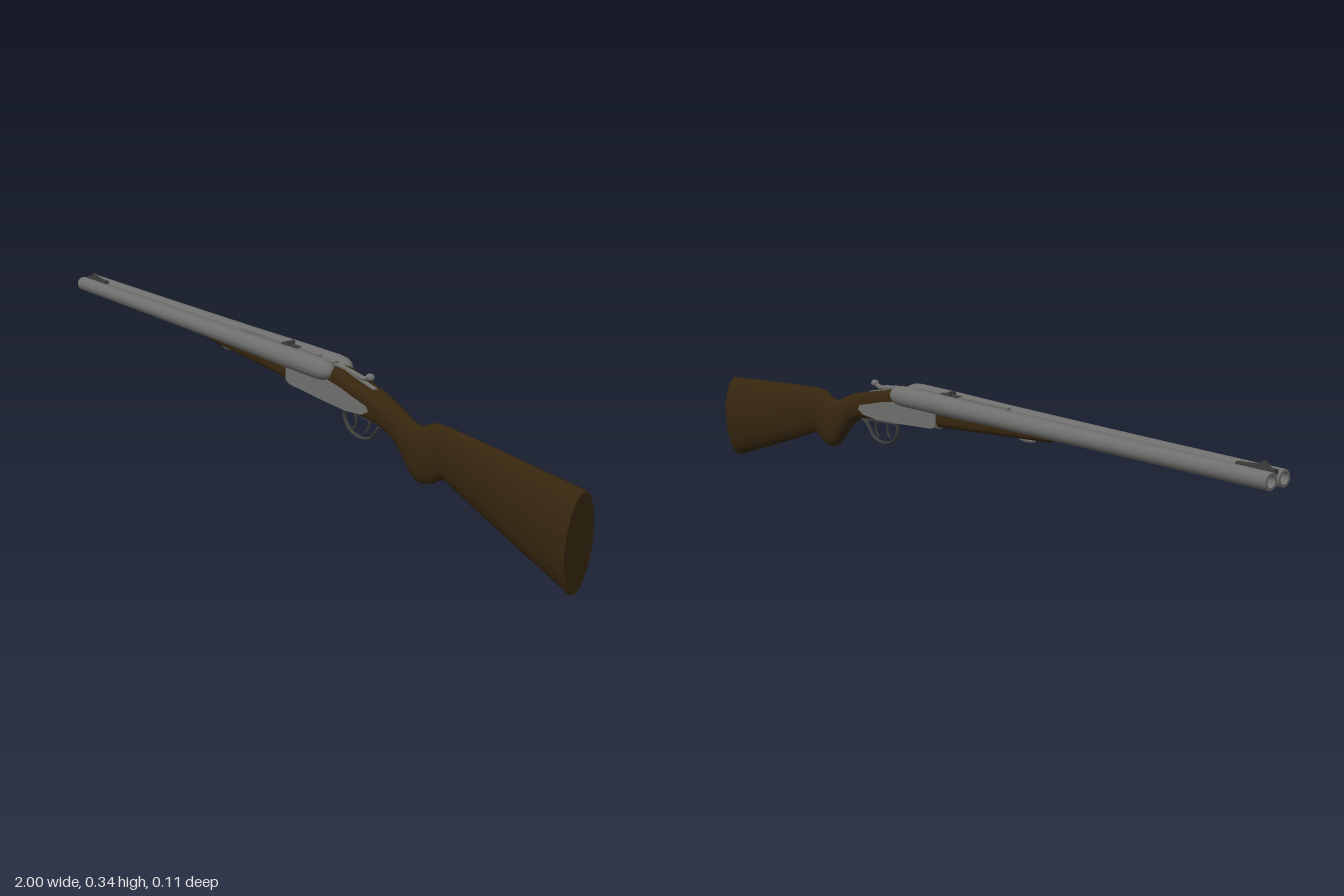
import * as THREE from 'three';

const mat = (name, color) => Object.assign(new THREE.MeshStandardMaterial({ color }), { name });
const steel = mat('steel', 0x6e6e6c);
const wood = mat('walnut', 0x36260f);
const dark = mat('darkSteel', 0x3c3c3a);

// Skin a solid along x from sections [x, bottom, top, halfWidth, exponent].
// An exponent of 2 is an ellipse; higher values are boxier.
function loft(sections, sides = 28) {
  const pos = [], idx = [];
  const ring = ([x, b, t, w, n]) => {
    for (let i = 0; i < sides; i++) {
      const a = (i / sides) * Math.PI * 2, c = Math.cos(a), s = Math.sin(a);
      pos.push(x, (b + t) / 2 + ((t - b) / 2) * Math.sign(s) * Math.abs(s) ** (2 / n),
        w * Math.sign(c) * Math.abs(c) ** (2 / n));
    }
  };
  sections.forEach(ring);
  for (let r = 0; r < sections.length - 1; r++)
    for (let i = 0; i < sides; i++) {
      const a = r * sides + i, b = r * sides + ((i + 1) % sides);
      idx.push(a, a + sides, b, b, a + sides, b + sides);
    }
  // End caps have their own rims, so their edges stay crisp
  for (const end of [0, sections.length - 1]) {
    const s = sections[end], base = pos.length / 3;
    ring(s);
    pos.push(s[0], (s[1] + s[2]) / 2, 0);
    for (let i = 0; i < sides; i++) {
      const a = base + i, b = base + ((i + 1) % sides), c = base + sides;
      if (end === 0) idx.push(c, a, b);
      else idx.push(c, b, a);
    }
  }
  const g = new THREE.BufferGeometry();
  g.setAttribute('position', new THREE.Float32BufferAttribute(pos, 3));
  g.setIndex(idx);
  g.computeVertexNormals();
  return g;
}

// Side outline in x and y, extruded across z
function slab(points, depth) {
  const shape = new THREE.Shape(points.map(([x, y]) => new THREE.Vector2(x, y)));
  return new THREE.ExtrudeGeometry(shape, { depth, bevelEnabled: false }).translate(0, 0, -depth / 2);
}

const rod = (points, radius, closed = false) => new THREE.TubeGeometry(
  new THREE.CatmullRomCurve3(points.map(([x, y, z = 0]) => new THREE.Vector3(x, y, z)), closed), 48, radius, 8, closed);

export function createModel() {
  const model = new THREE.Group();
  const add = (name, geometry, material, parent = model) => {
    const mesh = new THREE.Mesh(geometry, material);
    mesh.name = name;
    parent.add(mesh);
    return mesh;
  };
  const box = (name, x0, x1, y0, y1, w, material) =>
    add(name, new THREE.BoxGeometry(x1 - x0, y1 - y0, w).translate((x0 + x1) / 2, (y0 + y1) / 2, 0), material);

  // Paired barrels: hollow at the muzzle, rounded at the breech, slightly converging
  const profile = [[0, 0.1], [0.013, 0.1], [0.013, 0], [0.0185, 0], [0.0195, 0.002], [0.0205, 0.4],
    [0.0235, 0.85], [0.026, 1.03], [0.0265, 1.16], [0.0245, 1.185], [0.019, 1.2], [0.011, 1.209], [0, 1.212]];
  const corners = profile.flatMap(([r, l], i) =>
    i > 0 && i < 4 ? [new THREE.Vector2(r, l), new THREE.Vector2(r, l + 1e-5)] : [new THREE.Vector2(r, l)]);
  for (const side of [-1, 1]) {
    const g = new THREE.LatheGeometry(corners, 28).rotateZ(-Math.PI / 2);
    const p = g.attributes.position;
    for (let i = 0; i < p.count; i++) {
      const t = p.getX(i) / 1.212;
      p.setXYZ(i, p.getX(i) - 1, p.getY(i) + 0.307 + 0.002 * t, p.getZ(i) + side * (0.0215 + 0.0055 * t));
    }
    g.computeVertexNormals();
    add(side > 0 ? 'leftBarrel' : 'rightBarrel', g, steel);
  }

  // Ribs joining the barrels
  add('topRib', slab([[-0.995, 0.305], [0.19, 0.305], [0.19, 0.328], [-0.995, 0.32]], 0.016), steel);
  box('lowerRib', -0.995, 0.1, 0.293, 0.302, 0.02, steel);
  box('quarterRib', -0.2, 0.13, 0.32, 0.331, 0.011, steel);

  // Sights
  box('frontSightBase', -0.995, -0.895, 0.318, 0.328, 0.014, dark);
  add('frontSightRamp', slab([[-0.985, 0.327], [-0.9, 0.327], [-0.95, 0.333], [-0.975, 0.333]], 0.008), dark);
  add('frontSightBlade', slab([[-0.978, 0.33], [-0.952, 0.33], [-0.96, 0.341], [-0.97, 0.341]], 0.005), dark);
  box('rearSightBase', -0.02, 0.045, 0.328, 0.333, 0.014, dark);
  for (const z of [-0.006, 0.006])
    box('rearSightLeaf', 0.004, 0.014, 0.331, 0.341, 0.007, dark).position.z = z;

  // Forend under the barrels
  add('forend', loft([
    [-0.355, 0.276, 0.296, 0.012, 2.4], [-0.345, 0.272, 0.3, 0.018, 2.5], [-0.25, 0.266, 0.304, 0.024, 2.8],
    [-0.1, 0.256, 0.306, 0.029, 3], [0.04, 0.246, 0.306, 0.032, 3.5],
  ]), wood);
  add('forendLatch', new THREE.SphereGeometry(1, 16, 10).scale(0.03, 0.008, 0.009).translate(-0.265, 0.266, 0), steel);

  // Action body with a side plate on each flank
  add('actionBody', loft([
    [0.035, 0.244, 0.3, 0.0325, 6], [0.12, 0.236, 0.3, 0.0335, 6], [0.215, 0.229, 0.3, 0.033, 6],
    [0.29, 0.226, 0.27, 0.026, 5],
  ], 36), steel);
  add('sidePlates', slab([[0.033, 0.252], [0.05, 0.244], [0.2, 0.234], [0.27, 0.231], [0.33, 0.236], [0.352, 0.248],
    [0.345, 0.26], [0.3, 0.27], [0.25, 0.282], [0.2, 0.29], [0.033, 0.29]], 0.069), steel);

  // Buttstock with wrist and pistol grip
  add('stock', loft([
    [0.195, 0.232, 0.32, 0.0325, 5], [0.23, 0.229, 0.318, 0.033, 4.5], [0.28, 0.226, 0.305, 0.0335, 4],
    [0.34, 0.222, 0.293, 0.033, 3.4], [0.37, 0.216, 0.287, 0.03, 2.8], [0.41, 0.199, 0.277, 0.026, 2.3],
    [0.445, 0.168, 0.264, 0.024, 2.2], [0.47, 0.138, 0.252, 0.025, 2.2], [0.49, 0.12, 0.246, 0.026, 2.3],
    [0.51, 0.112, 0.25, 0.027, 2.3], [0.545, 0.12, 0.265, 0.025, 2.2], [0.56, 0.13, 0.268, 0.023, 2.1],
    [0.585, 0.143, 0.268, 0.022, 2], [0.7, 0.101, 0.262, 0.028, 2], [0.85, 0.05, 0.251, 0.037, 2],
    [0.965, 0.011, 0.243, 0.043, 2], [0.982, 0.005, 0.242, 0.044, 2],
  ]), wood);
  // Butt pad, leaning back toward the top
  const butt = loft([[0.978, 0.005, 0.242, 0.044, 2], [0.988, 0.005, 0.241, 0.044, 2], [0.992, 0.009, 0.237, 0.041, 2]]);
  const bp = butt.attributes.position;
  for (let i = 0; i < bp.count; i++)
    bp.setX(i, bp.getX(i) + (bp.getX(i) > 0.98 ? (bp.getY(i) - 0.124) * 0.064 : 0));
  butt.computeVertexNormals();
  add('buttPad', butt, wood);

  // Top lever and safety on the tang
  add('tang', slab([[0.19, 0.3], [0.34, 0.285], [0.34, 0.295], [0.285, 0.307], [0.23, 0.322], [0.19, 0.324]], 0.012), steel);
  add('topLever', rod([[0.215, 0.32], [0.26, 0.315], [0.3, 0.311], [0.318, 0.318]], 0.006), steel);
  add('leverThumbpiece', new THREE.SphereGeometry(1, 14, 10).scale(0.013, 0.009, 0.009).translate(0.32, 0.319, 0), steel);

  // Trigger guard and two triggers
  const bow = rod([[0.228, 0.226], [0.226, 0.2], [0.245, 0.174], [0.285, 0.162], [0.325, 0.171],
    [0.343, 0.19], [0.358, 0.206], [0.372, 0.211]], 0.0035);
  add('triggerGuard', bow.scale(1, 1, 1.8), dark);
  add('guardPlate', slab([[0.22, 0.222], [0.37, 0.213], [0.375, 0.22], [0.33, 0.232], [0.22, 0.234]], 0.018), dark);
  for (const [x, z] of [[0.272, 0.005], [0.308, -0.005]])
    add('trigger', rod([[x - 0.004, 0.226, z], [x + 0.004, 0.205, z], [x + 0.002, 0.19, z], [x - 0.008, 0.177, z]], 0.003), dark);

  return model;
}
